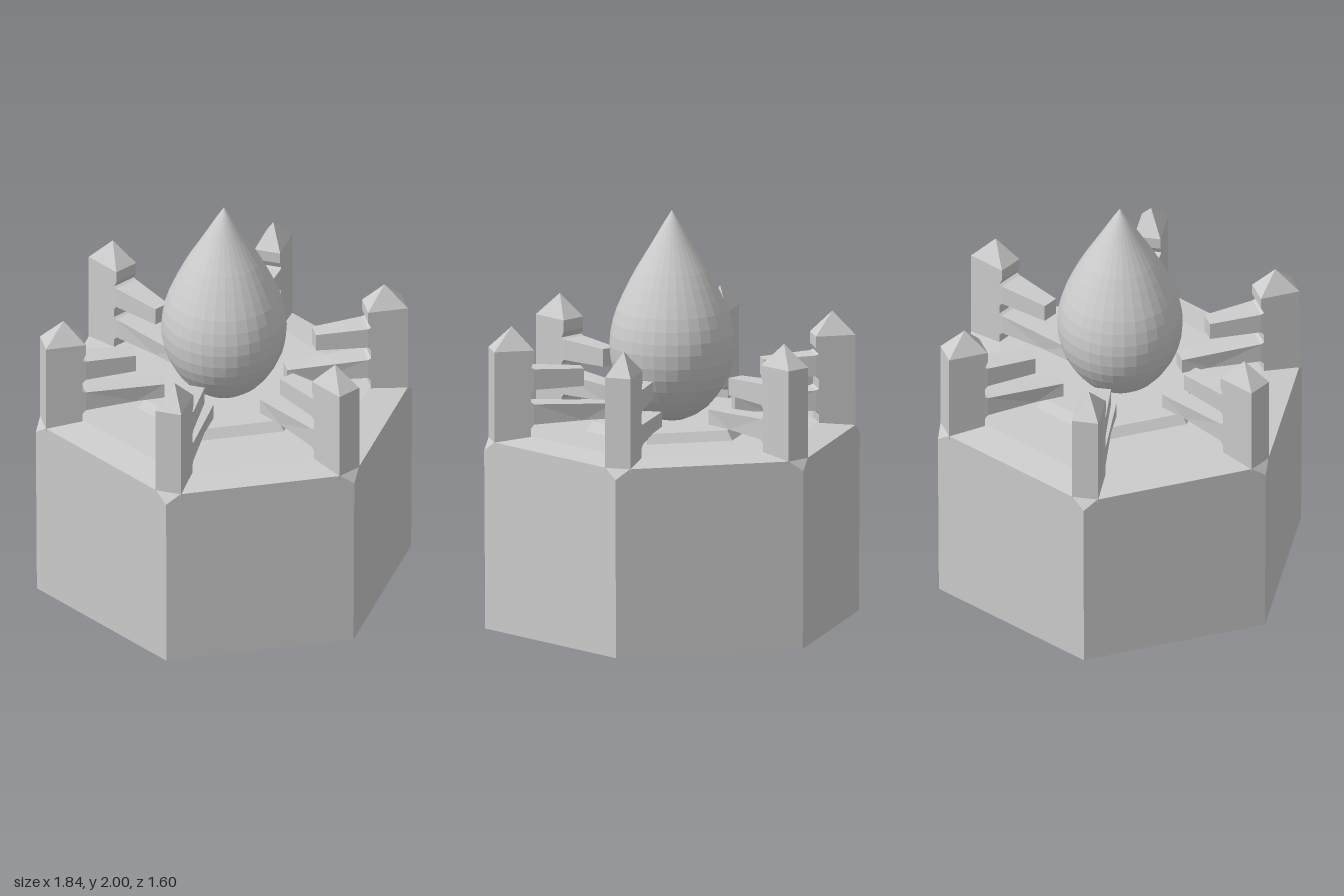
import * as THREE from 'three';
import { ConvexGeometry } from 'three/addons/geometries/ConvexGeometry.js';

const material = new THREE.MeshStandardMaterial({ color: 0xcccccc, flatShading: true });

function part(name, geometry) {
  const mesh = new THREE.Mesh(geometry, material);
  mesh.name = name;
  return mesh;
}

// Hexagon-symmetric ring of points at radius r and height y, offset sideways by w
function ring(r, y, w = 0) {
  const points = [];
  for (let i = 0; i < 6; i++) {
    const a = (i * Math.PI) / 3;
    points.push(new THREE.Vector3(
      r * Math.cos(a) - w * Math.sin(a), y, r * Math.sin(a) + w * Math.cos(a)));
  }
  return points;
}

// One corner post with two inward arms, as a side profile (radius, height)
function postGeometry() {
  const profile = [
    [0.885, 0.9], [0.885, 1.36], [0.69, 1.36], [0.69, 1.305], [0.705, 1.275],
    [0.69, 1.268], [0.44, 1.255], [0.44, 1.17], [0.69, 1.167], [0.705, 1.15],
    [0.705, 1.105], [0.69, 1.097], [0.44, 1.085], [0.3, 1.078], [0.3, 1.005],
    [0.44, 1.003], [0.69, 0.998], [0.705, 0.98], [0.705, 0.9],
  ];
  const shape = new THREE.Shape(profile.map(([r, y]) => new THREE.Vector2(r, y)));
  const geometry = new THREE.ExtrudeGeometry(shape, { depth: 2, bevelEnabled: false });
  geometry.translate(0, 0, -1);
  // Thin the arms towards their inner ends
  const pos = geometry.attributes.position;
  for (let i = 0; i < pos.count; i++) {
    const t = THREE.MathUtils.clamp((pos.getX(i) - 0.44) / 0.25, 0, 1);
    pos.setZ(i, pos.getZ(i) * THREE.MathUtils.lerp(0.041, 0.064, t));
  }
  geometry.computeVertexNormals();
  return geometry;
}

export function createModel() {
  const model = new THREE.Group();
  model.name = 'candleStand';

  // Hexagonal block with nicked top corners and a slightly raised top
  model.add(part('base', new ConvexGeometry([
    ...ring(0.915, 0), ...ring(0.92, 0.87),
    ...ring(0.885, 0.92, 0.061), ...ring(0.885, 0.92, -0.061),
    ...ring(0.73, 0.94),
  ])));

  // Low tapered plinth under the flame
  model.add(part('plinth', new ConvexGeometry([...ring(0.43, 0.93), ...ring(0.387, 0.985)])));

  // Flame-shaped bulb
  const outline = [
    [0.05, 0.98], [0.12, 1.01], [0.175, 1.05], [0.218, 1.1], [0.255, 1.16],
    [0.281, 1.22], [0.295, 1.28], [0.3, 1.345], [0.296, 1.4], [0.284, 1.46],
    [0.265, 1.52], [0.239, 1.58], [0.208, 1.645], [0.174, 1.71], [0.138, 1.77],
    [0.102, 1.83], [0.07, 1.885], [0.035, 1.945], [0, 2],
  ];
  model.add(part('flame', new THREE.LatheGeometry(
    [new THREE.Vector2(0, 0.975), ...outline.map(([r, y]) => new THREE.Vector2(r, y))], 32)));

  // Six corner posts with pointed caps
  const post = postGeometry();
  const corners = [0.69, 0.885].flatMap((r) => [-0.064, 0.064].map((z) => new THREE.Vector3(r, 1.36, z)));
  const cap = new ConvexGeometry([...corners, new THREE.Vector3(0.785, 1.47, 0)]);
  for (let i = 0; i < 6; i++) {
    const holder = new THREE.Group();
    holder.name = 'cornerPost' + (i + 1);
    holder.add(part('postAndArms', post), part('postCap', cap));
    holder.rotation.y = (i * Math.PI) / 3;
    model.add(holder);
  }
  return model;
}
